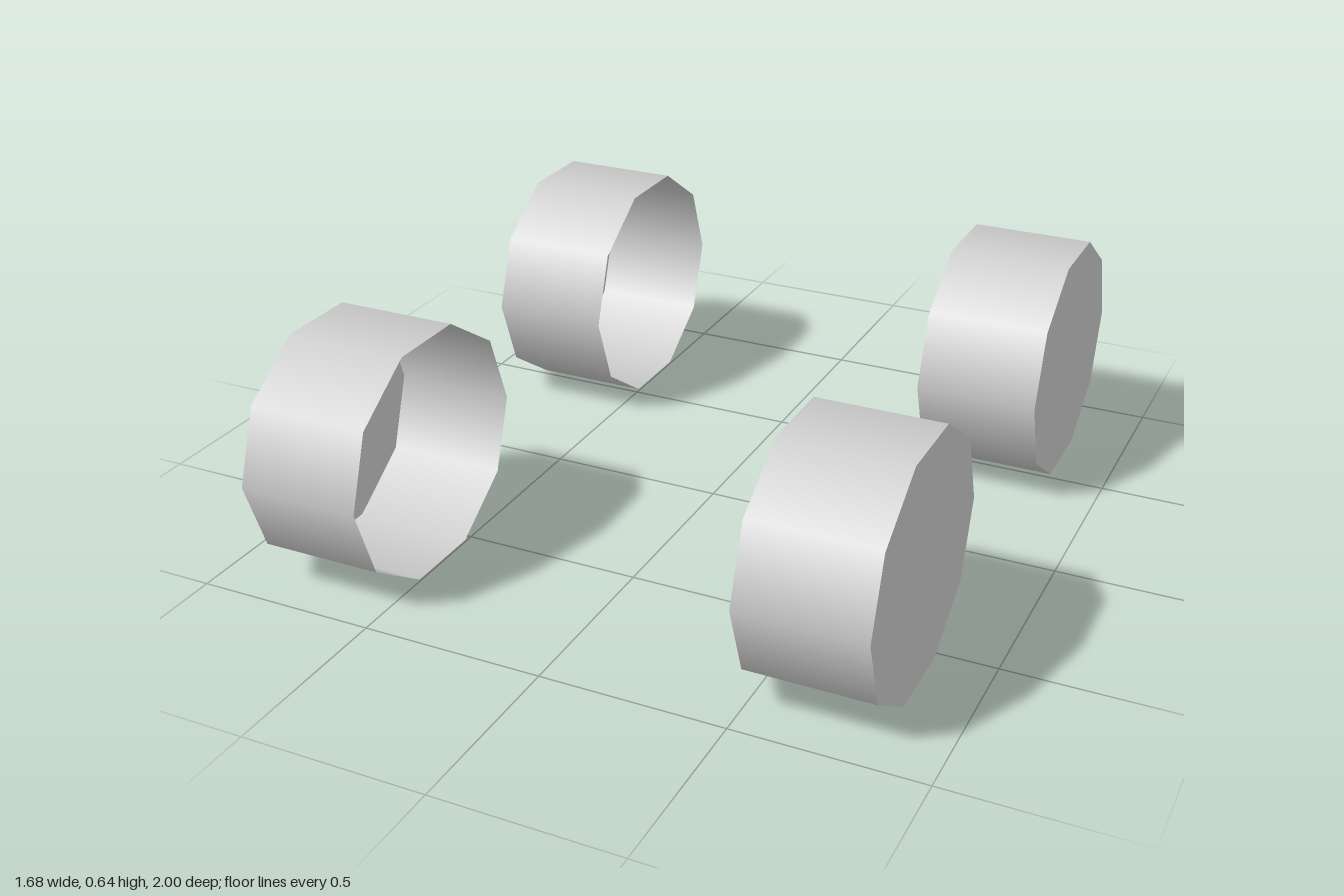
import * as THREE from 'three';

const SIDES = 10;
const RADIUS_Z = 0.366, RADIUS_Y = 0.339; // slightly squashed wheels
const INNER_X = 0.505, OUTER_X = 0.842;
const AXLE_Z = 0.634, AXLE_Y = 0.322;

export function createModel() {
  const model = new THREE.Group();
  model.name = 'wheelSet';

  const grey = new THREE.MeshStandardMaterial({ color: 0xcccccc, side: THREE.DoubleSide });
  grey.name = 'wheelGrey';

  const width = OUTER_X - INNER_X;

  // Smooth open tread band, axis along x
  const tread = new THREE.CylinderGeometry(1, 1, width, SIDES, 1, true);
  tread.rotateZ(-Math.PI / 2);
  tread.scale(1, RADIUS_Y, RADIUS_Z);

  // Flat outer disc, facing +x
  const disc = new THREE.CircleGeometry(1, SIDES);
  disc.rotateY(Math.PI / 2);
  disc.scale(1, RADIUS_Y, RADIUS_Z);
  disc.translate(width / 2, 0, 0);

  // Four wheels, closed outside and open inside
  for (const [end, sz] of [['front', 1], ['back', -1]]) {
    for (const [side, sx] of [['Left', 1], ['Right', -1]]) {
      const wheel = new THREE.Group();
      wheel.name = `${end}${side}Wheel`;
      const treadMesh = new THREE.Mesh(tread, grey);
      treadMesh.name = 'tread';
      const discMesh = new THREE.Mesh(disc, grey);
      discMesh.name = 'outerDisc';
      wheel.add(treadMesh, discMesh);
      wheel.position.set(sx * (INNER_X + OUTER_X) / 2, AXLE_Y, sz * AXLE_Z);
      if (sx < 0) wheel.rotation.y = Math.PI;
      model.add(wheel);
    }
  }
  return model;
}
